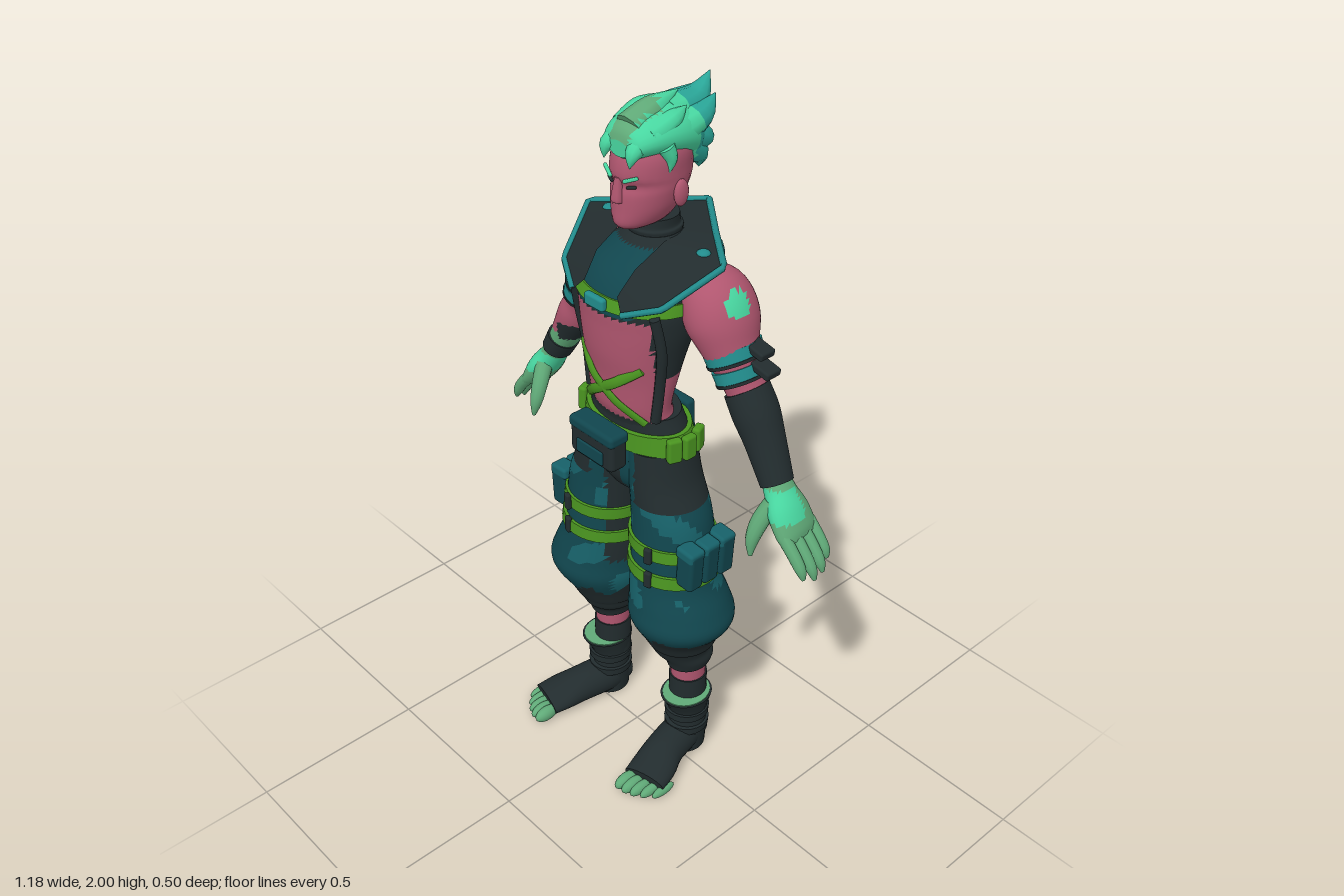
import * as THREE from 'three';
import { RoundedBoxGeometry } from 'three/addons/geometries/RoundedBoxGeometry.js';

const V = (x, y, z) => new THREE.Vector3(x, y, z);
const X = V(1, 0, 0), Y = V(0, 1, 0), Z = V(0, 0, 1);

export function createModel() {
  const root = new THREE.Group();
  root.name = 'figure';
  const colour = (name, hex) => Object.assign(new THREE.MeshStandardMaterial({ color: hex }), { name });
  const skin = colour('skin', 0xb0566f), dark = colour('darkCloth', 0x222c2e), teal = colour('deepTeal', 0x11464e),
    patch = colour('midTeal', 0x176169), trim = colour('turquoise', 0x228c8c), strap = colour('strapGreen', 0x4a9420),
    hair = colour('mintHair', 0x48d6a0), sage = colour('sage', 0x60aa78), hairBack = colour('tealHair', 0x2aa698);
  dark.side = THREE.DoubleSide;

  const add = (name, geo, mat, parent = root) => {
    const m = new THREE.Mesh(geo, mat);
    m.name = name;
    parent.add(m);
    return m;
  };
  const group = name => { const g = new THREE.Group(); g.name = name; root.add(g); return g; };

  // Smooth skin over rings [x, y, z, radiusA, radiusB]; paint(x, y, z) picks the material of each face
  function loft(name, rings, mat, { seg = 24, sub = 4, axis, ref = Z, parent = root, paint = () => mat } = {}) {
    const fine = [];
    for (let i = 0; i < rings.length - 1; i++) for (let k = 0; k < sub; k++) {
      const t = k / sub, [a, b, c, d] = [-1, 0, 1, 2].map(o => rings[Math.min(Math.max(i + o, 0), rings.length - 1)]);
      fine.push(b.map((q, n) => {
        const cubic = 3 * (q - c[n]) + d[n] - a[n], square = 2 * a[n] - 5 * q + 4 * c[n] - d[n];
        return q + 0.5 * t * (c[n] - a[n] + t * (square + t * cubic));
      }));
    }
    fine.push(rings[rings.length - 1]);
    const pts = [], buckets = new Map(), N = fine.length;
    const tri = (...f) => {
      const c = f.reduce((s, i) => s.add(pts[i]), V(0, 0, 0)).divideScalar(3), m = paint(c.x, c.y, c.z);
      if (!buckets.has(m)) buckets.set(m, []);
      buckets.get(m).push(...f);
    };
    fine.forEach((r, i) => {
      const p = fine[Math.max(i - 1, 0)], q = fine[Math.min(i + 1, N - 1)];
      const t = axis ? axis.clone() : V(q[0] - p[0], q[1] - p[1], q[2] - p[2]).normalize();
      const v = ref.clone().addScaledVector(t, -ref.dot(t)).normalize(), u = t.clone().cross(v);
      for (let j = 0; j < seg; j++) {
        const a = j / seg * Math.PI * 2;
        pts.push(V(r[0], r[1], r[2]).addScaledVector(u, Math.cos(a) * Math.max(r[3], 0.001)).addScaledVector(v, Math.sin(a) * Math.max(r[4], 0.001)));
      }
    });
    for (let i = 0; i < N - 1; i++) for (let j = 0; j < seg; j++) {
      const a = i * seg + j, b = i * seg + (j + 1) % seg;
      tri(a, a + seg, b);
      tri(b, a + seg, b + seg);
    }
    for (const i of [0, N - 1]) { // end caps
      const o = pts.length;
      for (let j = 0; j < seg; j++) pts.push(pts[i * seg + j].clone());
      pts.push(V(...fine[i].slice(0, 3)));
      for (let j = 0; j < seg; j++) {
        const next = o + (j + 1) % seg;
        if (i) tri(o + seg, next, o + j);
        else tri(o + seg, o + j, next);
      }
    }
    const g = new THREE.BufferGeometry().setFromPoints(pts), index = [], mats = [...buckets.keys()];
    mats.forEach((m, k) => { const f = buckets.get(m); g.addGroup(index.length, f.length, k); index.push(...f); });
    g.setIndex(index);
    g.computeVertexNormals();
    return add(name, g, mats, parent);
  }
  const box = (name, mat, size, pos, rot = [0, 0, 0], parent = root, r = 0.008) => {
    const m = add(name, new RoundedBoxGeometry(...size, 2, r), mat, parent);
    m.position.set(...pos);
    m.rotation.set(...rot);
  };
  const ball = (name, mat, size, pos, parent = root) => {
    const m = add(name, new THREE.SphereGeometry(1, 16, 12), mat, parent);
    m.scale.set(...size);
    m.position.set(...pos);
  };
  const R = (y, front, back, w) => [0, y, (front + back) / 2, w, (front - back) / 2];
  // Upright band that follows a loft between two heights
  function band(name, mat, rings, y0, y1, grow, parent = root) {
    const at = y => {
      const i = Math.max(1, rings.findIndex(r => r[1] >= y)), a = rings[i - 1], b = rings[i], t = (y - a[1]) / (b[1] - a[1]);
      return a.map((q, n) => q + (b[n] - q) * t + (n > 2 ? grow : 0));
    };
    loft(name, [at(y0), at(y1)], mat, { axis: Y, sub: 1, seg: 32, parent });
  }

  // Torso with cropped vest
  const body = [R(1.08, 0.09, -0.09, 0.15), R(1.15, 0.09, -0.075, 0.135), R(1.2, 0.105, -0.06, 0.13), R(1.28, 0.112, -0.08, 0.142),
    R(1.36, 0.125, -0.11, 0.155), R(1.44, 0.13, -0.14, 0.172), R(1.5, 0.13, -0.15, 0.175), R(1.56, 0.1, -0.15, 0.16),
    R(1.61, 0.05, -0.14, 0.11), R(1.65, 0.01, -0.13, 0.07)];
  loft('torso', body, skin, { axis: Y, seg: 48, sub: 6, paint: (x, y, z) => {
    const ax = Math.abs(x);
    if (y < 1.17) return dark;
    if (z > 0 && ax < 0.1 && y > 1.48 && y < 1.63) return teal;
    if (y > 1.475 || (z < 0 && y > 1.38)) return dark;
    return ax > 0.135 && y > 1.31 ? dark : skin;
  } });
  band('chestStrap', strap, body, 1.495, 1.525, 0.008);
  box('chestBuckle', trim, [0.07, 0.035, 0.02], [0, 1.51, 0.138]);
  for (const s of [1, -1]) {
    loft('crossStrap', [[-0.11, 1.34, 0.085], [-0.05, 1.29, 0.114], [0, 1.255, 0.117], [0.05, 1.22, 0.108], [0.11, 1.17, 0.07]]
      .map(([x, y, z]) => [s * x, y, z, 0.014, 0.006]), strap, { seg: 8 });
    loft('sideStrap', [[0.15, 1.5, 0.08], [0.155, 1.4, 0.06], [0.14, 1.3, 0.05], [0.125, 1.18, 0.05]]
      .map(([x, y, z]) => [s * x, y, z, 0.014, 0.014]), dark, { seg: 10 });
  }
  loft('neckWrap', [R(1.6, 0.03, -0.14, 0.085), R(1.64, 0.01, -0.13, 0.07), R(1.66, 0.012, -0.13, 0.07), R(1.665, 0.005, -0.125, 0.062), R(1.69, 0.002, -0.12, 0.062)], dark, { axis: Y });

  // Flared collar with piping and rivets
  const outer = [[0.09, 1.505, 0.135], [0.18, 1.54, 0.085], [0.245, 1.63, -0.055], [0.12, 1.645, -0.15], [0, 1.66, -0.245]];
  const inner = [[0.06, 1.54, 0.12], [0.07, 1.6, 0.07], [0.075, 1.645, -0.02], [0.06, 1.65, -0.1], [0, 1.65, -0.12]];
  for (const s of [1, -1]) {
    const g = new THREE.BufferGeometry(), idx = [];
    g.setFromPoints([...outer, ...inner].map(([x, y, z]) => V(s * x, y, z)));
    for (let i = 0; i < 4; i++) idx.push(...(s > 0 ? [i, i + 1, i + 5, i + 1, i + 6, i + 5] : [i, i + 5, i + 1, i + 1, i + 5, i + 6]));
    g.setIndex(idx);
    g.computeVertexNormals();
    add('collar', g, dark);
    const path = new THREE.CurvePath();
    for (let i = 0; i < 4; i++) path.add(new THREE.LineCurve3(...[outer[i], outer[i + 1]].map(([x, y, z]) => V(s * x, y, z))));
    add('collarPiping', new THREE.TubeGeometry(path, 40, 0.009, 6), trim);
    ball('collarRivet', trim, [0.018, 0.01, 0.018], [s * 0.17, 1.636, -0.06]);
  }

  // Backpack
  const pack = group('backpack');
  box('packBody', patch, [0.25, 0.23, 0.08], [0, 1.49, -0.155], [0, 0, 0], pack, 0.025);
  box('packFlap', trim, [0.23, 0.13, 0.06], [0, 1.545, -0.172], [0.12, 0, 0], pack, 0.02);
  box('packPocket', patch, [0.2, 0.075, 0.05], [0, 1.42, -0.185], [0, 0, 0], pack, 0.015);
  for (const x of [-0.075, 0.075]) {
    box('packStrap', teal, [0.02, 0.2, 0.02], [x, 1.48, -0.2], [0, 0, 0], pack);
    box('packSide', teal, [0.03, 0.13, 0.06], [x * 1.75, 1.47, -0.155], [0, 0, 0], pack);
  }

  // Head
  const head = group('head');
  loft('skull', [R(1.68, 0.055, -0.06, 0.035), R(1.695, 0.067, -0.1, 0.055), R(1.73, 0.066, -0.125, 0.074), R(1.77, 0.064, -0.145, 0.084),
    R(1.795, 0.057, -0.153, 0.087), R(1.82, 0.066, -0.158, 0.088), R(1.87, 0.055, -0.158, 0.086), R(1.915, 0.02, -0.13, 0.06), R(1.925, 0, -0.1, 0.03)], skin, { axis: Y, parent: head });
  loft('nose', [[0, 1.752, 0.062, 0.016, 0.014], [0, 1.762, 0.064, 0.016, 0.016], [0, 1.815, 0.06, 0.008, 0.01]], skin, { axis: Y, seg: 8, parent: head });
  for (const s of [1, -1]) {
    ball('ear', skin, [0.013, 0.035, 0.022], [s * 0.09, 1.767, -0.06], head);
    box('eyebrow', hair, [0.042, 0.009, 0.009], [s * 0.04, 1.818, 0.058], [0, s * 0.35, s * 0.4], head, 0.003);
    box('eye', dark, [0.026, 0.007, 0.008], [s * 0.037, 1.796, 0.052], [0, s * 0.4, s * 0.2], head, 0.003);
  }

  // Hair: one mass with swept spikes
  const mop = group('hair');
  const dye = (x, y, z) => z < -0.13 ? hairBack : z > -0.05 && Math.abs(x) < 0.032 && y > 1.9 ? sage : hair;
  loft('hairMass', [[0, 1.885, 0.06, 0.035, 0.02], [0, 1.897, 0.045, 0.065, 0.038], [0, 1.905, -0.01, 0.087, 0.055], [0, 1.9, -0.08, 0.092, 0.068],
    [0, 1.885, -0.14, 0.08, 0.07], [0, 1.87, -0.175, 0.045, 0.045]], hair, { ref: Y, axis: V(0, 0, -1), parent: mop, paint: dye });
  const lock = (a, b, c, r) => loft('hairSpike', [[...a, r, r], [...b, r * 0.7, r * 0.75], [...c, 0.001, 0.001]], hair, { ref: X, seg: 10, parent: mop, paint: dye });
  lock([0, 1.92, -0.09], [0, 1.94, -0.185], [0, 2.0, -0.235], 0.055);
  lock([0, 1.92, 0.02], [0, 1.955, -0.05], [0, 1.98, -0.13], 0.045);
  for (const s of [1, -1]) {
    lock([s * 0.045, 1.9, -0.08], [s * 0.05, 1.925, -0.16], [s * 0.04, 1.96, -0.215], 0.045);
    lock([s * 0.045, 1.91, 0], [s * 0.055, 1.94, -0.06], [s * 0.05, 1.96, -0.11], 0.035);
    lock([s * 0.03, 1.88, -0.12], [s * 0.035, 1.86, -0.18], [s * 0.03, 1.85, -0.22], 0.045);
    lock([s * 0.035, 1.86, -0.12], [s * 0.035, 1.82, -0.165], [s * 0.03, 1.78, -0.175], 0.04);
    lock([s * 0.035, 1.9, 0.02], [s * 0.045, 1.882, 0.055], [s * 0.045, 1.85, 0.065], 0.027);
    lock([s * 0.078, 1.89, -0.02], [s * 0.085, 1.86, -0.03], [s * 0.084, 1.825, -0.025], 0.022);
  }

  // Hips, belt and pouches
  const hips = [R(0.92, 0.06, -0.08, 0.1), R(0.97, 0.088, -0.11, 0.165), R(1.04, 0.092, -0.115, 0.175), R(1.1, 0.09, -0.11, 0.168), R(1.16, 0.09, -0.095, 0.145), R(1.175, 0.09, -0.09, 0.14)];
  loft('hips', hips, dark, { axis: Y, seg: 36, paint: (x, y, z) => z > 0 && Math.abs(x) > 0.03 && Math.abs(x) < 0.1 && y < 1.1 ? teal : dark });
  band('belt', strap, hips, 1.08, 1.135, 0.014);
  box('beltPouch', dark, [0.165, 0.11, 0.06], [0, 1.095, 0.135], [0, 0, 0], root, 0.015);
  box('beltPouchFlap', teal, [0.17, 0.035, 0.066], [0, 1.135, 0.135], [0, 0, 0], root, 0.012);
  box('beltPouchPanel', teal, [0.1, 0.04, 0.009], [0, 1.075, 0.166], [0, 0, 0], root, 0.003);
  box('tailPanel', teal, [0.17, 0.19, 0.03], [0, 1.055, -0.122], [0.05, 0, 0], root, 0.01);
  box('tailClasp', dark, [0.045, 0.06, 0.015], [0, 1.06, -0.138]);

  const shin = (y, r) => [0.165, y, -0.05, r, r + 0.002];
  for (const s of [1, -1]) {
    const side = s > 0 ? 'left' : 'right', flip = rings => rings.map(([x, ...r]) => [s * x, ...r]);
    for (const a of [0.35, 0, -0.4]) box('beltLoop', strap, [0.025, 0.07, 0.04], [s * 0.187 * Math.cos(a), 1.105, -0.01 + 0.12 * Math.sin(a)], [0, -s * a, 0]);

    // Baggy trouser leg
    const leg = group(side + 'Leg');
    const pants = flip([[0.165, 0.33, -0.05, 0.058, 0.066], [0.165, 0.36, -0.048, 0.068, 0.076], [0.152, 0.39, -0.035, 0.08, 0.085], [0.152, 0.42, -0.03, 0.09, 0.095],
      [0.155, 0.43, -0.028, 0.1, 0.1], [0.156, 0.47, -0.025, 0.115, 0.118], [0.168, 0.54, -0.015, 0.15, 0.147], [0.16, 0.6, -0.013, 0.143, 0.138], [0.14, 0.68, -0.01, 0.125, 0.12],
      [0.135, 0.78, -0.01, 0.118, 0.112], [0.125, 0.88, -0.01, 0.113, 0.107], [0.1, 0.98, -0.01, 0.092, 0.104], [0.085, 1.08, -0.01, 0.085, 0.1]]);
    loft('trouserLeg', pants, teal, { parent: leg, axis: Y, seg: 40, sub: 5, paint: (x, y, z) => {
      const q = s * x, w = 0.02 * Math.sin(q * 50 + z * 30);
      if (y < 0.5 + w || (q < 0.085 + w && y > 0.62 && (z < 0.06 || q < 0.05))) return dark;
      if (y > 0.92 && (q > 0.09 || z < 0)) return dark;
      if (z < -0.06 && q < 0.17 && y < 0.7) return dark;
      return Math.sin(q * 31 + y * 37) + Math.sin(z * 29 - y * 23 + 1) > 0.85 ? patch : teal;
    } });
    for (const y of [0.795, 0.715]) {
      band('thighStrap', strap, pants, y - 0.018, y + 0.018, 0.008, leg);
      box('strapBuckle', dark, [0.022, 0.05, 0.015], [s * 0.165, y, 0.112], [0, s * 0.25, 0], leg, 0.005);
    }
    for (const z of [0.045, -0.012, -0.069]) {
      box('thighPocket', teal, [0.06, 0.125, 0.052], [s * 0.258, 0.775, z], [0, 0, -s * 0.06], leg, 0.012);
      box('pocketFlap', patch, [0.064, 0.035, 0.054], [s * 0.258, 0.825, z], [0, 0, -s * 0.06], leg, 0.01);
    }
    loft('calf', flip([shin(0.26, 0.05), shin(0.37, 0.05)]), skin, { parent: leg, sub: 1 });
    loft('sock', flip([shin(0.15, 0.054), shin(0.285, 0.054)]), dark, { parent: leg, sub: 1 });

    // Open-toed boot
    const boot = group(side + 'Boot');
    loft('bootShaft', flip([[0.17, 0.005, -0.045, 0.05, 0.058], [0.17, 0.06, -0.045, 0.054, 0.06], [0.17, 0.1, -0.045, 0.056, 0.056], [0.17, 0.16, -0.045, 0.058, 0.06], [0.175, 0.218, -0.035, 0.07, 0.08]]), dark, { parent: boot, axis: Y });
    loft('bootCuffLining', flip([[0.175, 0.214, -0.035, 0.064, 0.074], [0.175, 0.221, -0.035, 0.064, 0.074]]), sage, { parent: boot, axis: Y, sub: 1 });
    loft('bootFoot', flip([[0.165, 0.045, -0.1, 0.035, 0.04], [0.17, 0.055, -0.03, 0.055, 0.055], [0.188, 0.052, 0.06, 0.058, 0.052], [0.208, 0.04, 0.12, 0.066, 0.04], [0.222, 0.031, 0.175, 0.066, 0.028]]), dark, { parent: boot, ref: Y });
    for (const y of [0.1, 0.15]) loft('bootStrap', flip([[0.17, y - 0.012, -0.043, 0.063, 0.066], [0.17, y + 0.012, -0.043, 0.065, 0.067]]), dark, { parent: boot, axis: Y, sub: 1 });
    for (let i = 0; i < 5; i++) {
      const r = 0.023 - i * 0.002;
      ball('toe', sage, [r * 0.85, r, 0.042], [s * (0.182 + i * 0.024), r, 0.208 - i * i * 0.0035], boot);
    }

    // Arm with shoulder mark and bands
    const arm = group(side + 'Arm');
    loft('arm', flip([[0.13, 1.54, -0.08, 0.06, 0.07], [0.19, 1.52, -0.08, 0.085, 0.095], [0.225, 1.47, -0.08, 0.085, 0.1], [0.255, 1.41, -0.08, 0.068, 0.08], [0.285, 1.35, -0.085, 0.055, 0.062],
      [0.31, 1.3, -0.09, 0.052, 0.056], [0.34, 1.25, -0.09, 0.056, 0.058], [0.375, 1.19, -0.088, 0.048, 0.05], [0.41, 1.13, -0.083, 0.038, 0.042], [0.43, 1.095, -0.08, 0.035, 0.042]]), skin,
    { parent: arm, seg: 40, sub: 6, paint: (x, y, z) => {
      const q = s * x;
      if (Math.hypot(q - 0.275, y - 1.535, z + 0.07) < 0.037) return hair;
      if (s < 0 && y < 1.23 && y > 1.17 && q < 0.37) return dark;
      return s < 0 && y < 1.19 && z > -0.1 ? sage : skin;
    } });
    if (s > 0) loft('forearmWrap', [[0.305, 1.305, -0.09, 0.058, 0.062], [0.34, 1.25, -0.09, 0.06, 0.063], [0.375, 1.19, -0.088, 0.053, 0.055], [0.433, 1.09, -0.08, 0.041, 0.046]], dark, { parent: arm });
    else loft('wristBand', flip([[0.4, 1.15, -0.085, 0.046, 0.05], [0.425, 1.105, -0.081, 0.042, 0.048]]), dark, { parent: arm });
    for (const [x, y, r] of [[0.262, 1.395, 0.07], [0.285, 1.35, 0.062]]) {
      loft('armBand', flip([[x - 0.007, y + 0.014, -0.083, r, r + 0.012], [x + 0.007, y - 0.014, -0.083, r - 0.003, r + 0.009]]), trim, { parent: arm, sub: 1 });
      loft('armBandEdge', flip([[x + 0.007, y - 0.014, -0.083, r, r + 0.011], [x + 0.011, y - 0.022, -0.083, r - 0.002, r + 0.009]]), dark, { parent: arm, sub: 1 });
      box('armBandTab', dark, [0.065, 0.022, 0.05], [s * (x + 0.068), y + 0.03, -0.1], [0, 0, -s * 0.2], arm, 0.006);
    }

    // Hand
    const hand = group(side + 'Hand');
    loft('palm', flip([[0.42, 1.11, -0.08, 0.032, 0.038], [0.445, 1.07, -0.08, 0.036, 0.046], [0.475, 1.03, -0.078, 0.038, 0.062], [0.505, 0.985, -0.08, 0.03, 0.066], [0.52, 0.965, -0.082, 0.018, 0.06]]), sage,
      { parent: hand, sub: 5, paint: (x, y, z) => y > 1.02 && y < 1.09 && z > -0.1 ? hair : sage });
    for (const [z, l] of [[-0.033, 0.9], [-0.066, 1], [-0.1, 0.95], [-0.13, 0.78]]) {
      loft('finger', flip([[0.5, 0.99, z, 0.019, 0.018], [0.5 + 0.045 * l, 0.99 - 0.05 * l, z - 0.003, 0.018, 0.017],
        [0.5 + 0.073 * l, 0.99 - 0.09 * l, z - 0.006, 0.015, 0.015], [0.5 + 0.085 * l, 0.99 - 0.12 * l, z - 0.008, 0.005, 0.006]]), sage, { parent: hand, seg: 10 });
    }
    loft('thumb', flip([[0.45, 1.05, -0.05, 0.024, 0.026], [0.437, 1.0, -0.02, 0.024, 0.023], [0.432, 0.95, 0, 0.018, 0.018], [0.436, 0.905, 0.008, 0.005, 0.006]]), sage, { parent: hand, seg: 12 });
  }
  return root;
}
